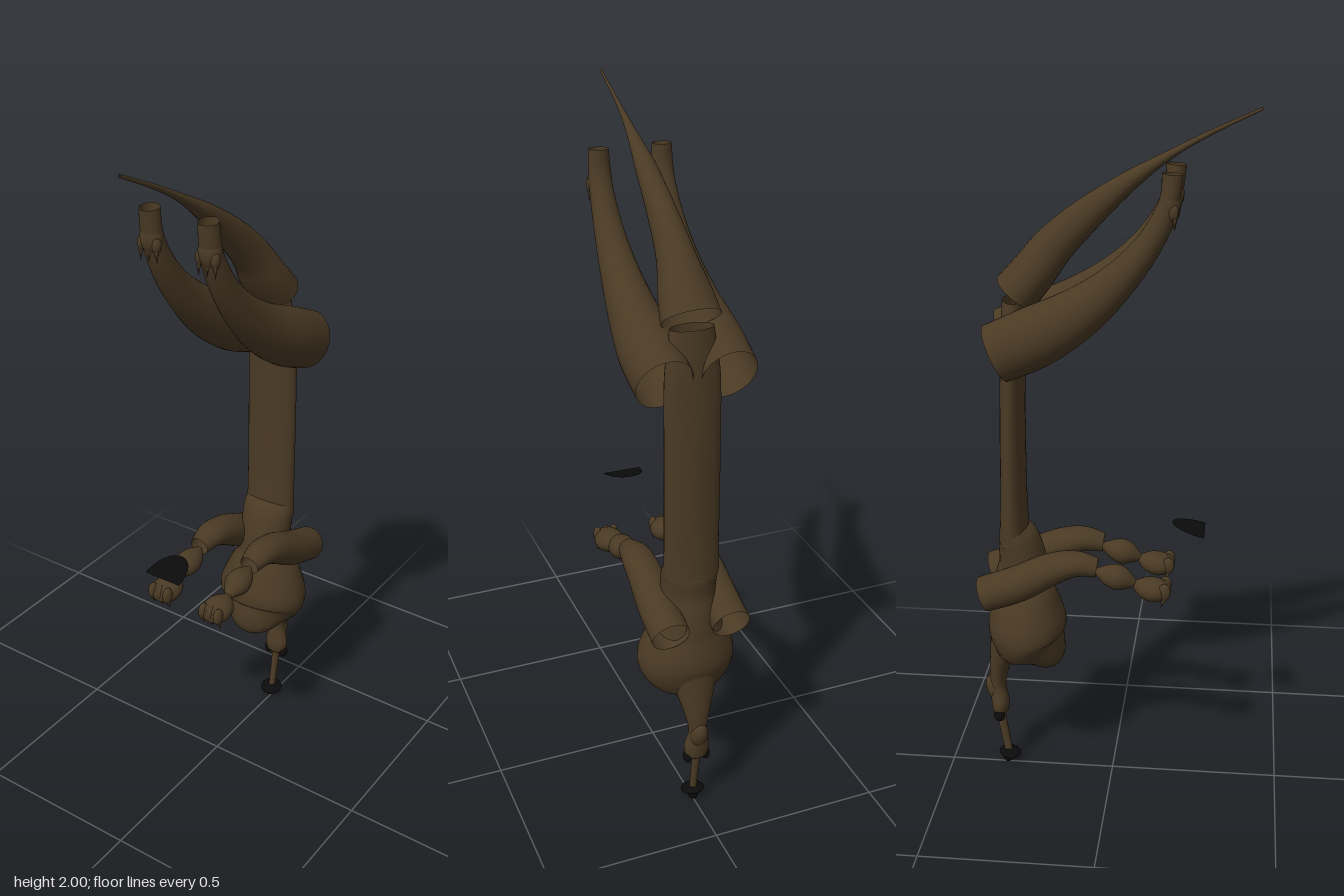
import * as THREE from 'three';

const hide = new THREE.MeshStandardMaterial({ color: 0x4a3a24, side: THREE.DoubleSide });
hide.name = 'dark brown hide';
const black = new THREE.MeshStandardMaterial({ color: 0x0b0b0b, side: THREE.DoubleSide });
black.name = 'black';

// Smooth elliptical tube along a path in the yz plane; rows are [y, z, halfWidth, halfDepth]
function sweep(name, rows, { x = 0, steps = 5, sides = 28, mat = hide } = {}) {
  const path = new THREE.CatmullRomCurve3(rows.map(r => new THREE.Vector3(x, r[0], r[1])));
  const size = new THREE.CatmullRomCurve3(rows.map((r, i) => new THREE.Vector3(r[2], r[3], i * 0.05)));
  const n = (rows.length - 1) * steps;
  const X = new THREE.Vector3(1, 0, 0);
  const pos = [], idx = [];
  for (let i = 0; i <= n; i++) {
    const c = path.getPoint(i / n), s = size.getPoint(i / n);
    const N = path.getTangent(i / n).cross(X).normalize();
    for (let j = 0; j < sides; j++) {
      const a = (j / sides) * Math.PI * 2;
      const p = c.clone().addScaledVector(X, Math.cos(a) * Math.max(s.x, 0.0005))
        .addScaledVector(N, Math.sin(a) * Math.max(s.y, 0.0005));
      pos.push(p.x, p.y, p.z);
      if (i < n) {
        const k = (j + 1) % sides, p0 = i * sides, p1 = p0 + sides;
        idx.push(p0 + j, p0 + k, p1 + j, p0 + k, p1 + k, p1 + j);
      }
    }
  }
  const g = new THREE.BufferGeometry();
  g.setAttribute('position', new THREE.Float32BufferAttribute(pos, 3));
  g.setIndex(idx);
  g.computeVertexNormals();
  const m = new THREE.Mesh(g, mat);
  m.name = name;
  return m;
}

function ball(name, mat, position, scale, tilt = 0) {
  const m = new THREE.Mesh(new THREE.SphereGeometry(1, 20, 14), mat);
  m.name = name;
  m.position.set(...position);
  m.scale.set(...scale);
  m.rotation.x = tilt;
  return m;
}

// Small pointed claw running from one point to another
function claw(from, to, r) {
  const a = new THREE.Vector3(...from), b = new THREE.Vector3(...to);
  const d = b.clone().sub(a);
  const m = new THREE.Mesh(new THREE.ConeGeometry(r, d.length(), 8), hide);
  m.name = 'claw';
  m.position.copy(a).add(b).multiplyScalar(0.5);
  m.quaternion.setFromUnitVectors(new THREE.Vector3(0, 1, 0), d.normalize());
  return m;
}

function leg(side) {
  const g = new THREE.Group();
  const x = side * 0.09;
  g.name = side > 0 ? 'leftLeg' : 'rightLeg';
  g.add(sweep('thighAndShin', [
    [1.35, -0.31, 0.078, 0.084], [1.4, -0.2, 0.081, 0.085], [1.47, -0.08, 0.066, 0.07],
    [1.56, 0.025, 0.05, 0.05], [1.65, 0.1, 0.039, 0.037], [1.74, 0.148, 0.032, 0.03],
    [1.79, 0.16, 0.03, 0.026], [1.84, 0.164, 0.027, 0.028]], { x }));
  g.add(ball('foot', hide, [x, 1.76, 0.158], [0.033, 0.045, 0.028]));
  for (const t of [-1, 0, 1]) {
    g.add(ball('toe', hide, [x + t * 0.023, 1.745, 0.168], [0.012, 0.022, 0.014]));
    g.add(claw([x + t * 0.024, 1.745, 0.172], [x + t * 0.026, 1.695, 0.172], 0.009));
  }
  return g;
}

function arm(side) {
  const g = new THREE.Group();
  const x = side * 0.09;
  g.name = side > 0 ? 'leftArm' : 'rightArm';
  g.add(sweep('upperArm', [
    [0.622, -0.368, 0.055, 0.052], [0.66, -0.265, 0.055, 0.053], [0.71, -0.17, 0.05, 0.047],
    [0.731, -0.1, 0.045, 0.037], [0.722, -0.035, 0.03, 0.028]], { x }));
  g.add(sweep('forearm', [
    [0.712, -0.04, 0.008, 0.008], [0.702, -0.005, 0.033, 0.03],
    [0.692, 0.032, 0.037, 0.036], [0.677, 0.075, 0.011, 0.01]], { x, steps: 4 }));
  g.add(sweep('hand', [
    [0.677, 0.07, 0.01, 0.01], [0.667, 0.1, 0.038, 0.03],
    [0.66, 0.135, 0.044, 0.034], [0.664, 0.168, 0.028, 0.022], [0.665, 0.175, 0.001, 0.001]], { x, steps: 4 }));
  for (const t of [-1, 0, 1]) {
    g.add(ball('finger', hide, [x + t * 0.026, 0.665, 0.16], [0.013, 0.026, 0.018]));
    g.add(claw([x + t * 0.026, 0.65, 0.162], [x + t * 0.028, 0.618, 0.15], 0.009));
  }
  return g;
}

export function createModel() {
  const root = new THREE.Group();
  root.name = 'creature';

  // Long flat trunk
  root.add(sweep('trunk', [
    [0.76, -0.288, 0.081, 0.044], [0.9, -0.287, 0.08, 0.037], [1.15, -0.284, 0.08, 0.035],
    [1.35, -0.278, 0.078, 0.034], [1.48, -0.27, 0.06, 0.034]]));

  // Tail tapering to a thin tip
  root.add(sweep('tail', [
    [1.5, -0.265, 0.082, 0.066], [1.56, -0.215, 0.07, 0.062], [1.63, -0.16, 0.051, 0.056],
    [1.715, -0.07, 0.039, 0.045], [1.81, 0.05, 0.029, 0.026], [1.875, 0.15, 0.015, 0.012],
    [1.93, 0.25, 0.006, 0.007], [1.995, 0.388, 0.003, 0.004]]));

  // Chest flaring into a rounded bulb
  root.add(sweep('chest', [
    [0.805, -0.29, 0.078, 0.036], [0.77, -0.278, 0.082, 0.058], [0.7, -0.265, 0.08, 0.07],
    [0.62, -0.268, 0.088, 0.085], [0.57, -0.262, 0.115, 0.1], [0.5, -0.256, 0.14, 0.116],
    [0.45, -0.25, 0.137, 0.108], [0.4, -0.23, 0.095, 0.088], [0.378, -0.235, 0.055, 0.06],
    [0.376, -0.235, 0.001, 0.001]]));

  // Tapering neck and knuckle
  root.add(sweep('neck', [
    [0.5, -0.31, 0.08, 0.055], [0.41, -0.328, 0.06, 0.043], [0.34, -0.345, 0.04, 0.03],
    [0.27, -0.352, 0.026, 0.024], [0.215, -0.346, 0.038, 0.027], [0.18, -0.346, 0.03, 0.022],
    [0.165, -0.346, 0.004, 0.004]]));
  root.add(ball('knuckle', hide, [0, 0.262, -0.365], [0.026, 0.042, 0.023], -0.25));

  // Black studs on the collar, stalk and end disc
  for (const s of [-1, 1])
    root.add(ball('collarStud', black, [s * 0.027, 0.178, -0.346], [0.013, 0.02, 0.017]));
  root.add(sweep('stalk', [
    [0.19, -0.348, 0.013, 0.014], [0.11, -0.336, 0.011, 0.013], [0.03, -0.323, 0.01, 0.012]],
    { sides: 14 }));
  root.add(ball('endDisc', black, [0, 0.034, -0.321], [0.035, 0.013, 0.034], 0.2));
  root.add(ball('endTip', black, [0, 0.018, -0.327], [0.016, 0.018, 0.016]));

  for (const s of [-1, 1]) root.add(leg(s), arm(s));

  // Floating curved half disc, flat edge toward the front
  const shape = new THREE.Shape();
  shape.moveTo(-0.058, 0);
  shape.bezierCurveTo(-0.058, 0.055, -0.035, 0.096, 0, 0.096);
  shape.bezierCurveTo(0.035, 0.096, 0.058, 0.055, 0.058, 0);
  shape.closePath();
  const plate = new THREE.Mesh(new THREE.ShapeGeometry(shape, 16), black);
  plate.name = 'floatingPlate';
  plate.position.set(0, 0.812, 0.267);
  plate.rotation.x = -Math.PI / 2 + 0.25;
  root.add(plate);

  return root;
}
